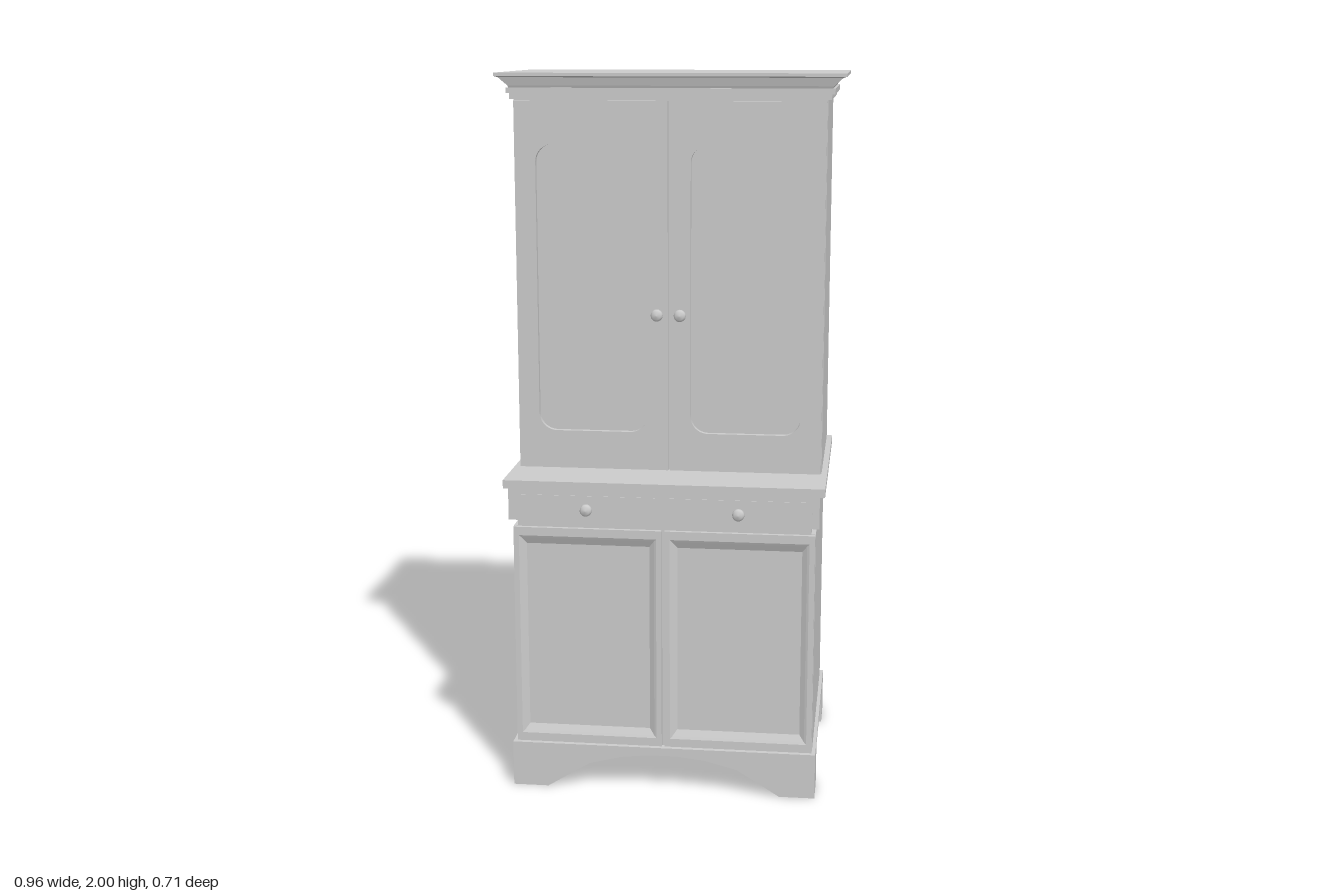
import * as THREE from 'three';

const mat = new THREE.MeshStandardMaterial({ color: 0xcccccc });

function add(parent, name, geo, x = 0, y = 0, z = 0) {
  const m = new THREE.Mesh(geo, mat);
  m.name = name;
  m.position.set(x, y, z);
  parent.add(m);
  return m;
}

// Box given by its half width and its y and z ranges
function block(parent, name, hw, y0, y1, z0, z1) {
  return add(parent, name, new THREE.BoxGeometry(2 * hw, y1 - y0, z1 - z0), 0, (y0 + y1) / 2, (z0 + z1) / 2);
}

// Stack of centred rectangles [width, height, z], joined by flat faces and capped
function loftRects(rings) {
  const pos = [];
  const loops = rings.map(([w, h, z]) =>
    [[-1, -1], [1, -1], [1, 1], [-1, 1]].map(([a, b]) => [a * w / 2, b * h / 2, z]));
  const quad = (a, b, c, d) => pos.push(...a, ...b, ...c, ...a, ...c, ...d);
  for (let i = 0; i + 1 < loops.length; i++) {
    for (let j = 0; j < 4; j++) {
      const k = (j + 1) % 4;
      quad(loops[i][j], loops[i][k], loops[i + 1][k], loops[i + 1][j]);
    }
  }
  const s = loops[0];
  quad(s[3], s[2], s[1], s[0]);
  quad(...loops[loops.length - 1]);
  const g = new THREE.BufferGeometry();
  g.setAttribute('position', new THREE.Float32BufferAttribute(pos, 3));
  g.computeVertexNormals();
  return g;
}

function roundedRect(path, x0, y0, x1, y1, r) {
  path.moveTo(x0 + r, y0);
  path.lineTo(x1 - r, y0);
  path.absarc(x1 - r, y0 + r, r, -Math.PI / 2, 0);
  path.lineTo(x1, y1 - r);
  path.absarc(x1 - r, y1 - r, r, 0, Math.PI / 2);
  path.lineTo(x0 + r, y1);
  path.absarc(x0 + r, y1 - r, r, Math.PI / 2, Math.PI);
  path.lineTo(x0, y0 + r);
  path.absarc(x0 + r, y0 + r, r, Math.PI, 1.5 * Math.PI);
  return path;
}

// Turned knob pointing to +z
function knob(parent, name, x, y, z) {
  const pts = [[0, 0], [0.008, 0], [0.008, 0.006], [0.014, 0.009], [0.017, 0.015],
    [0.016, 0.023], [0.011, 0.028], [0, 0.03]].map(([a, b]) => new THREE.Vector2(a, b));
  add(parent, name, new THREE.LatheGeometry(pts, 20), x, y, z).rotation.x = Math.PI / 2;
}

export function createModel() {
  const root = new THREE.Group();
  root.name = 'cupboard';

  // Plinth: arched front and back feet under a slab
  const base = new THREE.Group();
  base.name = 'base';
  root.add(base);
  const arch = [[0.33, 0], [0.21, 0.075], [0.12, 0.098], [0.04, 0.107]];
  const outline = [[-0.43, 0], ...arch.map(([x, y]) => [-x, y]), ...arch.slice().reverse(),
    [0.43, 0], [0.43, 0.13], [-0.43, 0.13]];
  const apron = new THREE.ExtrudeGeometry(
    new THREE.Shape(outline.map(([x, y]) => new THREE.Vector2(x, y))), { depth: 0.11, bevelEnabled: false });
  add(base, 'frontFeet', apron, 0, 0, 0.215);
  add(base, 'backFeet', apron, 0, 0, -0.35);
  block(base, 'baseSlab', 0.43, 0.11, 0.13, -0.24, 0.215);

  // Lower cabinet
  const lower = new THREE.Group();
  lower.name = 'lowerCabinet';
  root.add(lower);
  block(lower, 'lowerBody', 0.42, 0.13, 0.765, -0.335, 0.3);
  block(lower, 'lowerNeck', 0.408, 0.765, 0.787, -0.322, 0.305);
  block(lower, 'drawerCase', 0.43, 0.787, 0.877, -0.325, 0.323);
  block(lower, 'counterTop', 0.444, 0.877, 0.9, -0.335, 0.326);

  // Upper cabinet
  const upper = new THREE.Group();
  upper.name = 'upperCabinet';
  root.add(upper);
  block(upper, 'upperBody', 0.428, 0.9, 1.93, -0.325, 0.155);

  // Doors, drawer fronts and knobs, mirrored
  const panelDoor = loftRects([[0.415, 0.633, 0], [0.415, 0.633, 0.015], [0.385, 0.585, 0.015],
    [0.372, 0.572, 0.012], [0.345, 0.535, 0.003]]);
  for (const s of [1, -1]) {
    const side = s > 0 ? 'left' : 'right';
    add(lower, side + 'LowerDoor', panelDoor, s * 0.2115, 0.448, 0.3);
    add(lower, side + 'DrawerFront', new THREE.BoxGeometry(0.39, 0.072, 0.01), s * 0.215, 0.825, 0.3195);
    knob(lower, side + 'DrawerKnob', s * 0.21, 0.825, 0.324);

    const x = (a, b) => (s > 0 ? [a, b] : [-b, -a]);
    const [o0, o1] = x(0.003, 0.426);
    const [i0, i1] = x(0.06, 0.368);
    const frame = new THREE.Shape([[o0, 0.902], [o1, 0.902], [o1, 1.926], [o0, 1.926]]
      .map(([a, b]) => new THREE.Vector2(a, b)));
    frame.holes.push(roundedRect(new THREE.Path(), i0, 1.01, i1, 1.81, 0.05));
    add(upper, side + 'UpperDoor',
      new THREE.ExtrudeGeometry(frame, { depth: 0.015, bevelEnabled: false, curveSegments: 10 }), 0, 0, 0.155);
    knob(upper, side + 'UpperKnob', s * 0.032, 1.345, 0.17);
  }

  // Cornice: stepped frieze and flared crown
  const cornice = new THREE.Group();
  cornice.name = 'cornice';
  root.add(cornice);
  block(cornice, 'friezeLower', 0.438, 1.93, 1.945, -0.33, 0.168);
  block(cornice, 'friezeUpper', 0.447, 1.945, 1.96, -0.338, 0.17);
  const crown = loftRects([[0.88, 0.5, 1.96], [0.885, 0.505, 1.966], [0.935, 0.518, 1.988],
    [0.956, 0.535, 1.991], [0.956, 0.535, 2]]);
  add(cornice, 'crown', crown, 0, 0, -0.0865).rotation.x = -Math.PI / 2;

  return root;
}
